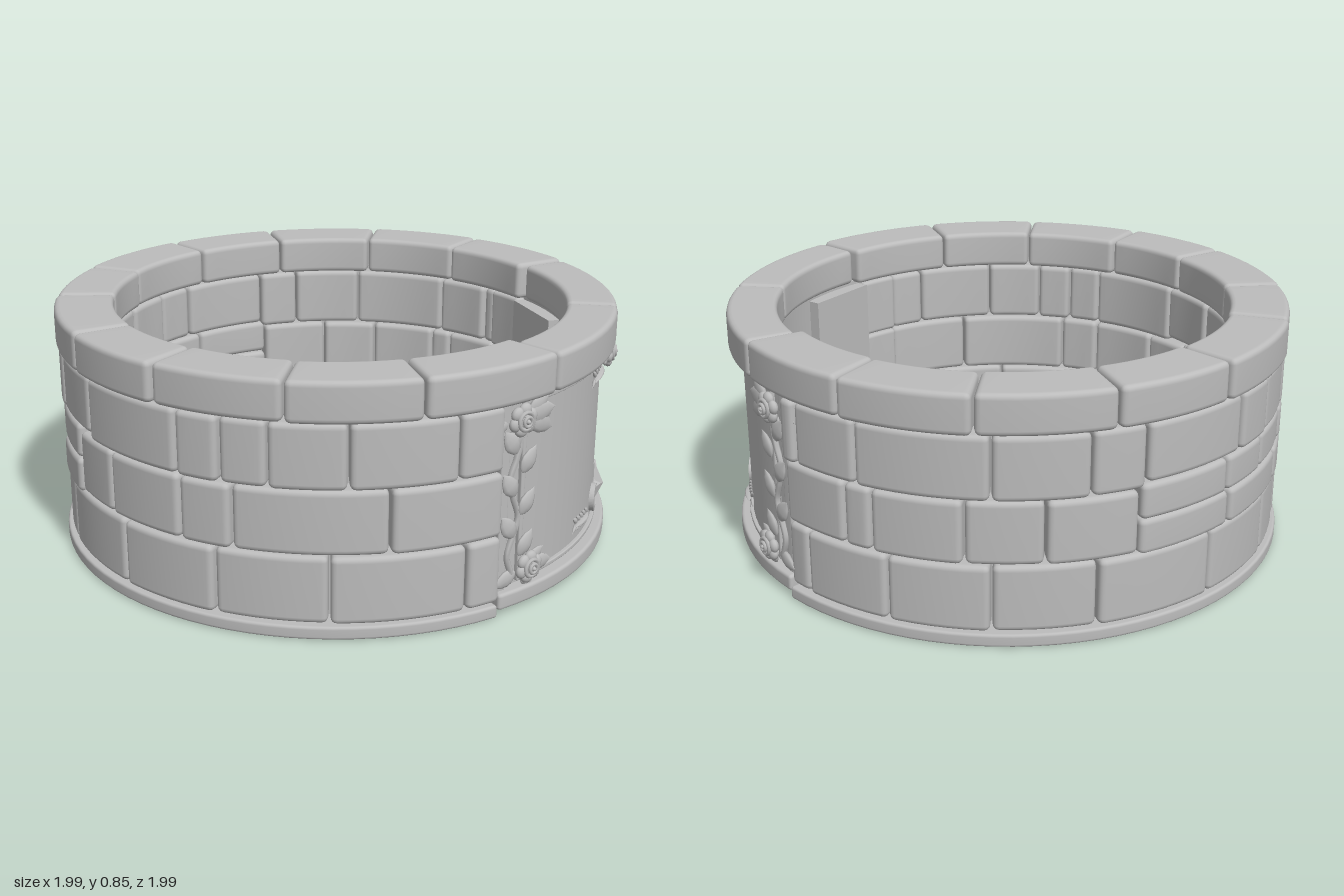
import * as THREE from 'three';
import { mergeVertices } from 'three/addons/utils/BufferGeometryUtils.js';

const stoneGrey = new THREE.MeshStandardMaterial({ color: 0xbcbcbc });
stoneGrey.name = 'stoneGrey';
const rad = THREE.MathUtils.degToRad;

// Rounded block bent round the y axis. Angles in degrees from +x towards +z.
function arcBlock(a0, a1, r0, r1, y0, y1, bevel = 0.02, gap = 0.006) {
  const rm = (r0 + r1) / 2, mid = rad((a0 + a1) / 2);
  const half = [rad(a1 - a0) * rm / 2 - gap / 2, (y1 - y0) / 2, (r1 - r0) / 2];
  const n = [4 + Math.max(3, Math.ceil((a1 - a0) / 4)), 5, 5];
  const geo = new THREE.BoxGeometry(1, 1, 1, ...n);
  geo.deleteAttribute('uv');
  geo.deleteAttribute('normal');
  const pos = geo.attributes.position, p = new THREE.Vector3(), inner = new THREE.Vector3();
  const spread = (t, count, h) => {
    const i = Math.round((t + 0.5) * count), k = Math.min(i, count - i);
    if (k <= 2) return (i < count / 2 ? -1 : 1) * (h - bevel * [0, 0.5, 1][k]);
    return (h - bevel) * (2 * (i - 2) / (count - 4) - 1);
  };
  for (let i = 0; i < pos.count; i++) {
    p.set(spread(pos.getX(i), n[0], half[0]), spread(pos.getY(i), n[1], half[1]), spread(pos.getZ(i), n[2], half[2]));
    inner.set(...half.map((h, k) => THREE.MathUtils.clamp(p.getComponent(k), bevel - h, h - bevel)));
    p.sub(inner);
    if (p.lengthSq() > 1e-12) p.setLength(bevel);
    p.add(inner);
    const a = mid - p.x / rm, r = rm + p.z;
    pos.setXYZ(i, r * Math.cos(a), (y0 + y1) / 2 + p.y, r * Math.sin(a));
  }
  const out = mergeVertices(geo, 1e-5);
  out.computeVertexNormals();
  return out;
}

// Pointed leaf from the origin towards +y, one unit long
const leafGeo = new THREE.LatheGeometry(
  [[0, 0], [0.16, 0.1], [0.27, 0.3], [0.29, 0.48], [0.2, 0.75], [0, 1]].map(([x, y]) => new THREE.Vector2(x, y)), 10);
leafGeo.scale(1, 1, 0.55);
const ballGeo = new THREE.SphereGeometry(1, 12, 8);

export function createModel() {
  const model = new THREE.Group();
  const add = (parent, name, geo) => {
    const m = new THREE.Mesh(geo, stoneGrey);
    m.name = name;
    parent.add(m);
    return m;
  };
  const group = (name) => {
    const g = new THREE.Group();
    g.name = name;
    model.add(g);
    return g;
  };
  const course = (name, joints, r0, r1, y0, y1) => {
    const g = group(name);
    for (let i = 0; i < joints.length - 1; i++) {
      const j = 0.004 * Math.sin(i * 2.3 + y0 * 9);
      add(g, 'stone', arcBlock(joints[i], joints[i + 1], r0 + j, r1 + j, y0, y1));
    }
  };

  // Base, mortar and courses of stones
  add(model, 'baseRing', arcBlock(49, 311, 0.78, 0.99, 0, 0.045, 0.01));
  add(model, 'mortarCore', arcBlock(49.5, 310.5, 0.85, 0.9, 0.03, 0.78, 0.005));
  course('bottomCourse', [48, 55.7, 82, 104, 125.8, 149.5, 164.8, 182.5, 200, 221.5, 247, 267, 287, 306, 312],
    0.79, 0.975, 0.045, 0.275);
  course('middleCourse', [239, 257, 272, 290, 296, 312], 0.79, 0.975, 0.278, 0.495);
  course('middleCourseFront', [48, 70.8, 100.3, 111, 129.5, 143], 0.79, 0.975, 0.278, 0.495);
  course('splitCourseLower', [143, 159, 176, 193, 216, 239], 0.79, 0.978, 0.265, 0.388);
  course('splitCourseUpper', [143, 158, 173, 188.6, 204, 217.4, 239], 0.79, 0.978, 0.39, 0.513);
  course('topCourse', [48, 57.8, 78.5, 93.2, 102.4, 111.3, 136.7], 0.79, 0.98, 0.498, 0.715);
  course('topCourseBack', [136.7, 154, 171, 188, 202.8, 213.6, 237.8], 0.79, 0.98, 0.515, 0.715);
  course('topCourseFar', [237.8, 248.7, 267, 293, 308, 312], 0.79, 0.98, 0.498, 0.715);
  course('capStones', [36, 65, 90, 116, 140, 168, 191, 219, 244, 270, 296, 323], 0.785, 0.99, 0.715, 0.853);
  course('plaqueCapStones', [-37, 0, 36], 0.81, 0.985, 0.715, 0.848);

  // Curved plaque with its sill, frame and inner side slabs
  add(model, 'plaque', arcBlock(-47, 47, 0.83, 0.94, 0.06, 0.725, 0.006));
  add(model, 'plaqueSill', arcBlock(-49, 49, 0.79, 0.985, 0.018, 0.075, 0.012));
  add(model, 'frameBottom', arcBlock(-43, 43, 0.92, 0.953, 0.085, 0.1, 0.004));
  add(model, 'frameTop', arcBlock(-43, 43, 0.92, 0.953, 0.692, 0.71, 0.004));
  for (const s of [-1, 1]) {
    const side = (a, b, ...rest) => arcBlock(Math.min(a * s, b * s), Math.max(a * s, b * s), ...rest);
    add(model, 'frameSide', side(41.5, 43, 0.92, 0.955, 0.085, 0.71, 0.005));
    add(model, 'frameEdge', side(46, 48.5, 0.88, 0.96, 0.07, 0.715, 0.006));
    for (let i = 0; i < 3; i++)
      add(model, 'innerStone', side(38, 49, 0.79, 0.87, 0.05 + i * 0.222, 0.268 + i * 0.222, 0.015));
    const slab = add(model, 'innerSlab', new THREE.BoxGeometry(0.29, 0.64, 0.06));
    const a = rad(28.5 * s);
    slab.position.set(0.805 * Math.cos(a), 0.385, 0.805 * Math.sin(a));
    slab.rotation.y = Math.PI / 2 - a;
  }

  // Puts an ornament on the curved face: u runs along it, spin turns it in its plane
  const onWall = (o, u, y, r, spin = 0) => {
    const a = Math.asin(-u / r);
    o.position.set(r * Math.cos(a), y, r * Math.sin(a));
    o.rotation.set(0, Math.PI / 2 - a, spin);
    return o;
  };
  const ornaments = group('ornaments');
  const leaf = (u, y, r, spin, length, width = 1) => {
    const m = onWall(add(ornaments, 'leaf', leafGeo), u, y, r, spin);
    m.scale.set(length * width, length, length * 0.7);
  };
  const rose = (u, y, r, size) => {
    const g = onWall(new THREE.Group(), u, y, r);
    g.name = 'rose';
    g.scale.setScalar(size);
    ornaments.add(g);
    for (let i = 0; i < 6; i++) {
      const t = i * Math.PI / 3 + 0.3;
      const petal = add(g, 'outerPetal', ballGeo);
      petal.position.set(0.62 * Math.cos(t), 0.62 * Math.sin(t), 0);
      petal.rotation.z = t;
      petal.scale.set(0.4, 0.44, 0.28);
    }
    [[0.52, 0.13, 0.28], [0.28, 0.11, 0.42]].forEach(([ring, tube, z]) => {
      add(g, 'innerPetals', new THREE.TorusGeometry(ring, tube, 6, 16)).position.z = z;
    });
    const bud = add(g, 'bud', ballGeo);
    bud.scale.set(0.16, 0.16, 0.25);
    bud.position.z = 0.35;
    const heart = add(g, 'heart', ballGeo);
    heart.scale.set(0.55, 0.55, 0.3);
  };
  const sprig = (s, u0, u1, y, slope) => {
    for (let i = 0; i < 5; i++) {
      const u = THREE.MathUtils.lerp(u0, u1, i / 5), v = y + slope * i / 5;
      for (const k of [-1, 1]) leaf(s * u, v, 0.945, s * (-Math.PI / 2 + k * 0.55), 0.055, 0.6);
    }
    leaf(s * u0, y, 0.945, -s * (Math.PI / 2 - Math.atan2(slope, u1 - u0)), u1 - u0 + 0.03, 0.12);
  };

  // Crescent moon opening towards +x
  const moon = new THREE.Shape();
  moon.absarc(0, 0, 0.05, 0.75, Math.PI * 2 - 0.75, false);
  moon.absarc(0.018, 0, 0.0387, -1.08, 1.08, true);
  const moonGeo = new THREE.ExtrudeGeometry(moon, { depth: 0.018, bevelEnabled: false, curveSegments: 20 });

  rose(0, 0.68, 0.965, 0.056);
  for (const t of [-1, 1]) leaf(t * 0.03, 0.68, 0.955, -t * 1.75, 0.085);
  for (const s of [-1, 1]) {
    rose(s * 0.695, 0.662, 0.985, 0.055);
    rose(s * 0.655, 0.145, 0.985, 0.055);
    sprig(s, 0.1, 0.23, 0.66, -0.012);
    sprig(s, 0.21, 0.35, 0.155, 0.008);
    onWall(add(ornaments, 'moon', moonGeo), s * 0.11, 0.168, 0.938, s > 0 ? Math.PI : 0);

    // Climbing vine between the corner roses
    const pts = [];
    for (let i = 0; i <= 8; i++) {
      const u = s * (0.685 + 0.014 * Math.sin(i * 1.6)), r = 0.965;
      pts.push(new THREE.Vector3(Math.sqrt(r * r - u * u), 0.13 + i * 0.066, -u));
    }
    add(ornaments, 'vine', new THREE.TubeGeometry(new THREE.CatmullRomCurve3(pts), 40, 0.011, 6));
    for (let i = 0; i < 6; i++) {
      const k = i % 2 ? 1 : -1;
      leaf(s * (0.685 + k * 0.008), 0.19 + i * 0.072, 0.975, -s * k * 0.6, 0.1, 1.05);
    }

    // Leaves fanning from the corner roses
    [[0.66, 0.66, 1.5, 0.13], [0.65, 0.67, 1.1, 0.1], [0.65, 0.65, 2.0, 0.12], [0.71, 0.65, -1.7, 0.08], [0.69, 0.64, 3.0, 0.1],
      [0.62, 0.14, 1.7, 0.1], [0.63, 0.15, 1.1, 0.08], [0.67, 0.13, -1.9, 0.1], [0.65, 0.12, 2.5, 0.08]]
      .forEach(([u, y, spin, length]) => leaf(s * u, y, 0.965, s * spin, length));
    sprig(s, 0.59, 0.52, 0.655, -0.02);
  }

  // Four-pointed star
  [[0.022, 0.078, 0.035], [0.06, 0.022, 0.03], [0.034, 0.04, 0.026]].forEach(([x, y, z]) => {
    const m = onWall(add(ornaments, 'star', new THREE.OctahedronGeometry(1)), 0, 0.178, 0.943);
    m.scale.set(x, y, z);
  });

  return model;
}
